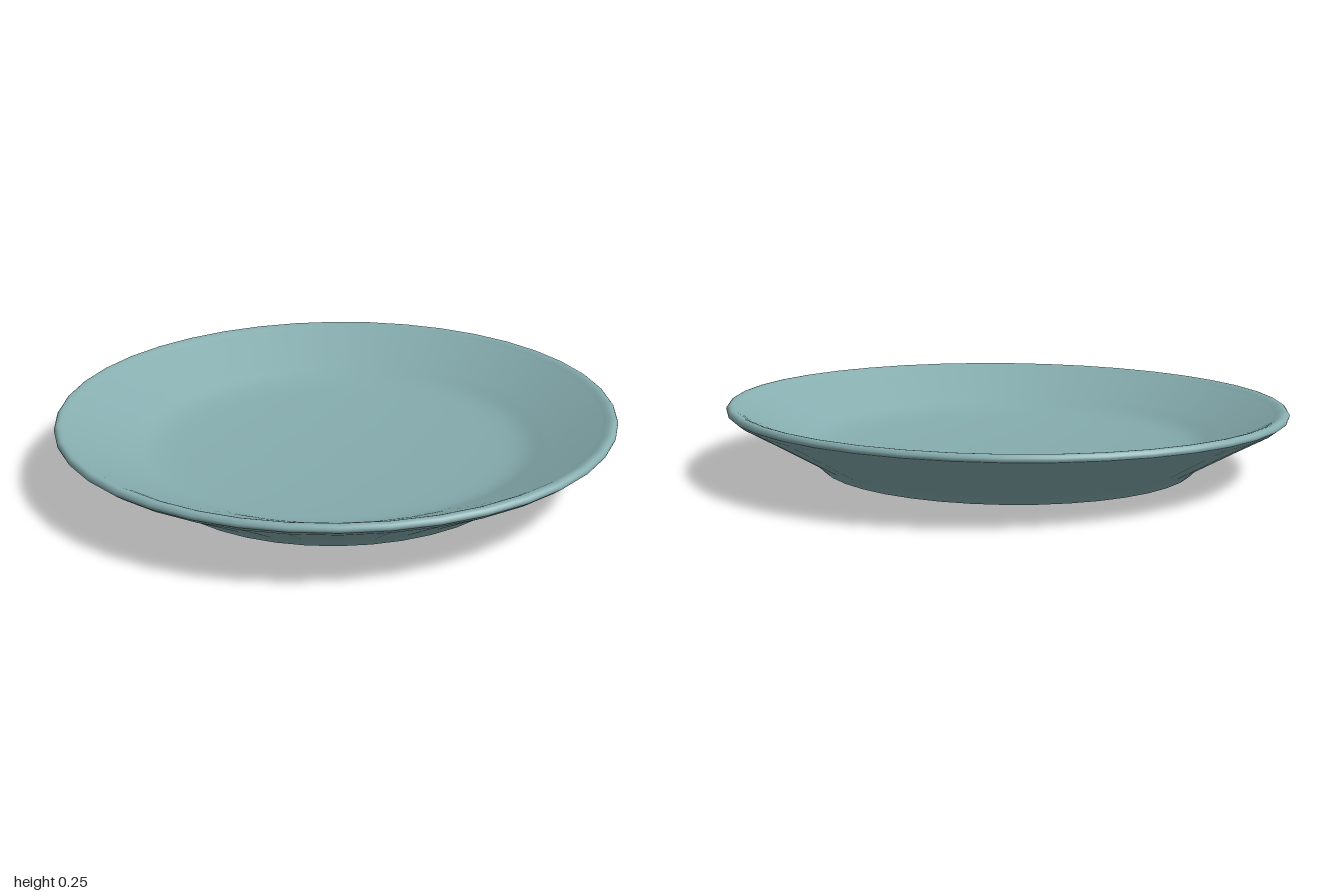
import * as THREE from 'three';

export function createModel() {
  const glaze = new THREE.MeshStandardMaterial({ color: 0x86adaf });
  glaze.name = 'tealGlaze';

  const plate = new THREE.Group();
  plate.name = 'plate';

  // each part is a smooth turned surface; separate parts keep the foot edge crisp
  const turn = (name, points, smooth) => {
    let pts = points.map(([r, y]) => new THREE.Vector2(r, y));
    if (smooth) pts = new THREE.SplineCurve(pts).getPoints(smooth);
    pts.forEach((p) => { p.x = Math.max(p.x, 0); });
    const mesh = new THREE.Mesh(new THREE.LatheGeometry(pts, 40), glaze);
    mesh.name = name;
    plate.add(mesh);
  };

  // flat underside
  turn('underside', [[0, 0], [0.67, 0]]);
  // foot flare and sloping outer wall
  turn('outerWall', [[0.67, 0], [0.682, 0.012], [0.705, 0.034], [0.85, 0.117], [0.975, 0.187], [0.998, 0.205]]);
  // rounded lip
  turn('rim', [[0.998, 0.205], [1, 0.215], [0.99, 0.227], [0.972, 0.226], [0.95, 0.215]], 10);
  // inner slope running into a gently dished well
  turn('well', [[0.95, 0.215], [0.86, 0.172], [0.76, 0.126], [0.66, 0.086], [0.5, 0.069], [0.25, 0.057], [0, 0.053]], 24);

  // the plate rests slightly tilted, its left side higher
  plate.rotation.z = 0.014;
  plate.position.y = 0.01;

  const model = new THREE.Group();
  model.name = 'dinnerPlate';
  model.add(plate);
  return model;
}
